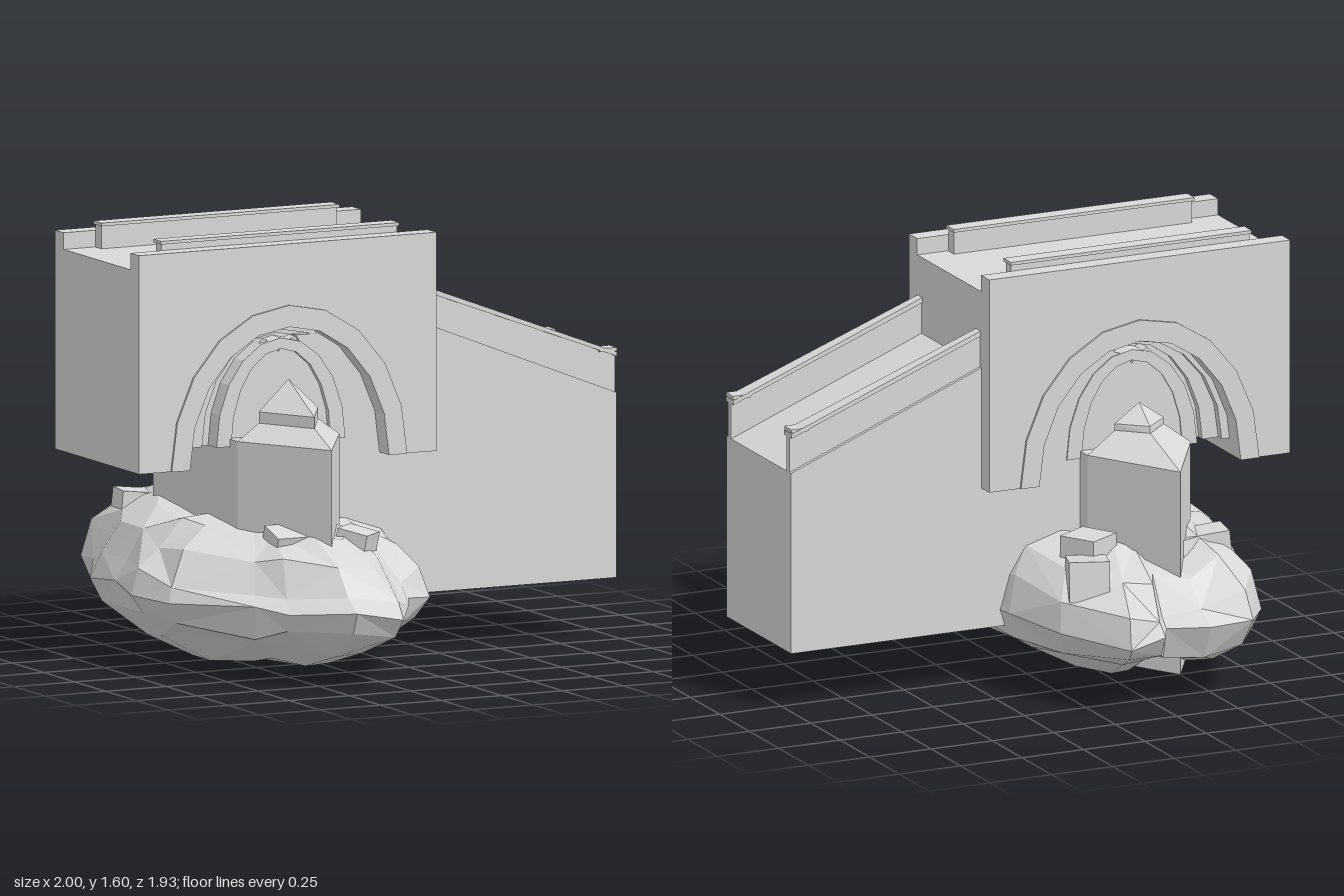
import * as THREE from 'three';

const stone = new THREE.MeshStandardMaterial({ color: 0xd8d8d8, flatShading: true });
stone.name = 'grey stone';

const CX = -0.385;            // centre line of the arch and pier
const FRONT = 0.28, BACK = -0.40; // faces of the bridge

function add(parent, name, geometry) {
  const mesh = new THREE.Mesh(geometry, stone);
  mesh.name = name;
  parent.add(mesh);
  return mesh;
}

function box(parent, name, x0, x1, y0, y1, z0, z1) {
  const g = new THREE.BoxGeometry(x1 - x0, y1 - y0, z1 - z0);
  g.translate((x0 + x1) / 2, (y0 + y1) / 2, (z0 + z1) / 2);
  return add(parent, name, g);
}

// Extrudes an outline in x and y from z0 to z1
function slab(parent, name, points, z0, z1) {
  const shape = new THREE.Shape(points.map(([x, y]) => new THREE.Vector2(x, y)));
  const g = new THREE.ExtrudeGeometry(shape, { depth: z1 - z0, bevelEnabled: false });
  g.translate(0, 0, z0);
  return add(parent, name, g);
}

// Faceted half ellipse, from its left foot over to its right foot
function arc(rx, ry, y0, steps = 10) {
  return Array.from({ length: steps + 1 }, (_, i) => {
    const a = Math.PI * (1 - i / steps);
    return [CX + rx * Math.cos(a), y0 + ry * Math.sin(a)];
  });
}

// Skins rings of points (anticlockwise from above, listed upwards) and closes both ends
function loft(rings) {
  const pos = [];
  const n = rings[0].length;
  const tri = (a, b, c) => pos.push(...a, ...b, ...c);
  for (let r = 0; r < rings.length - 1; r++) {
    for (let i = 0; i < n; i++) {
      const j = (i + 1) % n, a = rings[r], b = rings[r + 1];
      if ((i + r) % 2) {
        tri(a[i], a[j], b[i]);
        tri(a[j], b[j], b[i]);
      } else {
        tri(a[i], a[j], b[j]);
        tri(a[i], b[j], b[i]);
      }
    }
  }
  const low = rings[0], high = rings[rings.length - 1];
  for (let i = 1; i < n - 1; i++) {
    tri(low[0], low[i + 1], low[i]);
    tri(high[0], high[i], high[i + 1]);
  }
  const g = new THREE.BufferGeometry();
  g.setAttribute('position', new THREE.Float32BufferAttribute(pos, 3));
  g.computeVertexNormals();
  return g;
}

function buildBridge(root) {
  const bridge = new THREE.Group();
  bridge.name = 'archedBridge';
  root.add(bridge);

  // Body with the arch cut from its underside
  slab(bridge, 'bridgeBody', [
    [-1, 0.765], ...arc(0.41, 0.505, 0.765), [0.225, 0.765], [0.225, 1.515], [-1, 1.515],
  ], BACK, FRONT);

  // Outer parapets and inner rails with a flat cap
  for (const [edge, inward] of [[FRONT, -1], [BACK, 1]]) {
    const span = (a, b) => [edge + inward * a, edge + inward * b].sort((p, q) => p - q);
    box(bridge, 'parapet', -1, 0.225, 1.515, 1.577, ...span(0, 0.07));
    box(bridge, 'deckRail', -0.87, 0.10, 1.515, 1.60, ...span(0.075, 0.12));
    box(bridge, 'deckRailCap', -0.875, 0.105, 1.60, 1.612, ...span(0.066, 0.13));
  }

  // Raised arch rings on both faces
  const ring = [...arc(0.485, 0.585, 0.765), ...arc(0.41, 0.505, 0.765).reverse()];
  slab(bridge, 'frontArchRing', ring, FRONT, FRONT + 0.009);
  slab(bridge, 'backArchRing', ring, BACK - 0.009, BACK);

  // Stepped ribs, each narrower and set further in
  const ribs = [[0.37, 0.42, 0.07], [0.305, 0.405, 0.1], [0.262, 0.385, 0.13]];
  for (const [rx, ry, inset] of ribs) {
    slab(bridge, 'vaultRib',
      [...arc(0.415, 0.45, 0.83), ...arc(rx, ry, 0.83).reverse()],
      BACK + inset, FRONT - inset);
  }
  // Slim innermost rib standing proud of the others
  slab(bridge, 'innerRib',
    [...arc(0.265, 0.39, 0.83), ...arc(0.205, 0.35, 0.83).reverse()],
    BACK + 0.06, FRONT - 0.06);
}

function buildPier(root) {
  const pier = new THREE.Group();
  pier.name = 'pier';
  root.add(pier);

  // Six-sided shaft with a pointed cutwater at each end
  const plan = [[-0.21, FRONT], [0, 0.63], [0.21, FRONT], [0.21, BACK], [0, -0.75], [-0.21, BACK]];
  add(pier, 'pierShaft', loft([0.085, 0.858].map(y => plan.map(([x, z]) => [CX + x, y, z]))));

  // Stepped half-pyramid caps: half width, reach, height
  const cap = (name, side, base, levels) => add(pier, name, loft(levels.map(([w, d, y]) => [
    [CX - side * w, y, base], [CX, y, base + side * d], [CX + side * w, y, base],
  ])));
  cap('frontCutwaterCap', 1, FRONT,
    [[0.21, 0.35, 0.858], [0.122, 0.21, 0.92], [0.122, 0.21, 0.962], [0.001, 0.001, 1.075]]);
  cap('backCutwaterCap', -1, BACK,
    [[0.21, 0.35, 0.858], [0.1, 0.095, 0.94], [0.1, 0.09, 0.965], [0.001, 0.001, 1.035]]);

  // Wall inside the arch, with a broken notch at its crown
  slab(pier, 'archInfill', [
    [-0.595, 0.8], [-0.175, 0.8], [-0.175, 1.06], [-0.31, 1.22], [-0.37, 1.2],
    [-0.385, 1.165], [-0.41, 1.2], [-0.45, 1.22], [-0.595, 1.065],
  ], -0.335, 0.2);
}

function buildRamp(root) {
  const ramp = new THREE.Group();
  ramp.name = 'ramp';
  root.add(ramp);
  // The inner end fills the near side of the arch
  slab(ramp, 'rampBody', [
    [-0.18, 0.23], [1, 0.23], [1, 0.918], [0.225, 1.225], [-0.32, 1.225], [-0.18, 1.0],
  ], -0.335, 0.212);

  // Sloping parapets with a wider handrail and a level end piece
  for (const z of [0.187, -0.307]) {
    slab(ramp, 'rampParapet', [[0.22, 1.21], [1, 0.91], [1, 1.06], [0.22, 1.35]], z - 0.013, z + 0.013);
    const rail = slab(ramp, 'rampHandrail',
      [[0.22, 1.345], [0.94, 1.075], [1, 1.052], [1, 1.068], [0.94, 1.091], [0.22, 1.365]], z - 0.02, z + 0.02);
    // The rail widens towards its lower end
    const p = rail.geometry.attributes.position;
    for (let i = 0; i < p.count; i++) {
      const t = (p.getX(i) - 0.22) / 0.78;
      p.setZ(i, z + (p.getZ(i) - z) * (1 + 0.6 * t));
    }
    rail.geometry.computeVertexNormals();
    box(ramp, 'handrailEnd', 0.93, 1, 1.072, 1.085, z - 0.03, z + 0.03);
  }
}

function buildRock(root) {
  let seed = 7;
  const rand = () => {
    seed = (seed * 16807) % 2147483647;
    return seed / 2147483647 - 0.5;
  };
  // Widest outline seen from above
  const outline = [
    [-0.96, 0.14], [-0.92, 0.36], [-0.71, 0.65], [-0.63, 0.77], [-0.45, 0.965], [-0.26, 0.965],
    [-0.13, 0.75], [-0.08, 0.65], [0.05, 0.57], [0.07, 0.42], [0.14, 0.2], [0.15, -0.1], [0.15, -0.41],
    [0.08, -0.7], [-0.08, -0.97], [-0.22, -0.97], [-0.27, -0.87], [-0.42, -0.94], [-0.6, -0.92],
    [-0.71, -0.76], [-0.74, -0.6], [-0.83, -0.45], [-0.88, -0.15],
  ];
  // Scale, height and roughness of each ring
  const levels = [
    [0.08, 0.008, 0], [0.5, 0.05, 0.03], [0.76, 0.125, 0.06], [0.93, 0.2, 0.05], [1, 0.29, 0.05],
    [0.94, 0.385, 0.05], [0.8, 0.475, 0.05], [0.58, 0.545, 0.04], [0.1, 0.56, 0],
  ];
  const rings = levels.map(([s, y, rough], r) => outline.map(([x, z]) => {
    const k = s + (r === 4 ? 0 : rand() * rough * 1.2);
    // The top is lower at the front and rises into two lobes at the back
    const lobes = z < -0.4 ? 0.035 * Math.cos((x + 0.27) * 8) : 0;
    const drop = r > 4 ? 0.045 * Math.max(0, z * s) + lobes * s : 0;
    return [CX + (x - CX) * k, y - drop + rand() * rough, z * k];
  }));
  add(root, 'rockBase', loft(rings));

  // Tilted rubble blocks sunk into the rock's shoulders: x, y, z, size
  const rubble = [
    [-0.5, 0.49, 0.47, 0.12], [-0.23, 0.48, 0.52, 0.12], [-0.6, 0.5, -0.55, 0.13],
    [-0.12, 0.52, -0.52, 0.15], [-0.05, 0.47, -0.66, 0.15], [-0.48, 0.49, -0.58, 0.12],
  ];
  rubble.forEach(([x, y, z, size], i) => {
    const g = new THREE.BoxGeometry(size, size, size);
    g.rotateX(0.3 - 0.1 * i);
    g.rotateY(i * 0.7);
    g.translate(x, y, z);
    add(root, 'rubbleBlock', g);
  });
}

export function createModel() {
  const root = new THREE.Group();
  root.name = 'bridgeOnRock';
  buildBridge(root);
  buildPier(root);
  buildRamp(root);
  buildRock(root);
  return root;
}
